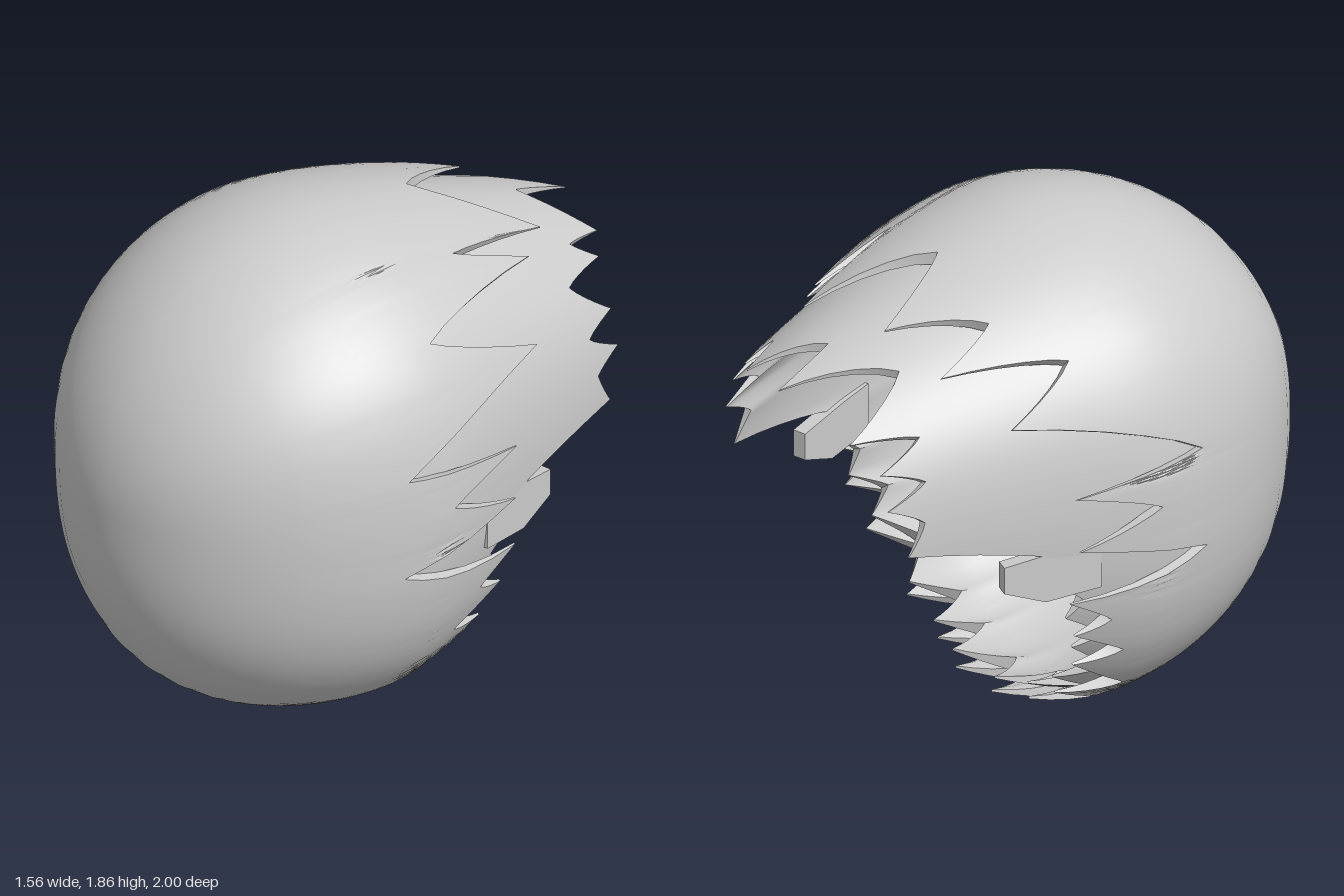
import * as THREE from 'three';
import { toCreasedNormals } from 'three/addons/utils/BufferGeometryUtils.js';

const material = new THREE.MeshStandardMaterial({ color: 0xcccccc });
const MID = 0.1, DEPTH = 0.9; // widest section and distance from it to the front pole

// Point on the rounded head: phi runs round from the top towards +x, s from the front pole backwards.
// sink draws the surface in behind the widest section, so that the tips flare out again.
function headPoint(phi, s, scale, sink) {
  const c = Math.cos(phi), n = Math.sin(phi);
  const front = Math.sin(Math.min(s, Math.PI / 2));
  const d = Math.max(0, s - Math.PI / 2) * DEPTH;
  const z = s < Math.PI / 2 ? DEPTH * Math.cos(s) : -d;
  const r = scale - sink * Math.sin(Math.PI * Math.min(1, d / 1.1));
  const w = 0.78 * front * (1 - 0.38 * d ** 1.4);
  const up = 0.86 * front * (1 - 0.34 * d ** 1.6);
  const down = front ** 0.75 * (1 - 0.6 * d ** 1.5);
  return [
    r * w * n * (1 + 0.2 * n * n * c * c),
    1 + r * (c > 0 ? up : down) * c,
    MID + z * (z > 0 ? scale : 1),
  ];
}

const backToS = z => z > MID ? Math.acos((z - MID) / DEPTH) : Math.PI / 2 + (MID - z) / DEPTH;

// Rim as alternating [angle, z] notches and tips, starting at a notch; returns the sampled columns.
function rimColumns(knots) {
  const columns = [], steps = 5;
  for (let k = 0; k < knots.length - 1; k++) {
    const [a0, z0] = knots[k], [a1, z1] = knots[k + 1];
    const fromNotch = k % 2 === 0;
    for (let i = 0; i < steps; i++) {
      const t = i / steps, tip = fromNotch ? t : 1 - t;
      const notchZ = fromNotch ? z0 : z1, tipZ = fromNotch ? z1 : z0;
      columns.push({
        phi: THREE.MathUtils.degToRad(a0 + (a1 - a0) * t),
        s: backToS(notchZ + (tipZ - notchZ) * tip ** 1.2),
        tip,
      });
    }
  }
  columns.push({ ...columns[0], phi: columns[0].phi + Math.PI * 2 });
  return columns;
}

// Closed shell: outer skin, tapered jagged rim and inner skin in a single sweep.
function lockShell(name, knots, scale, thickness, sink) {
  const columns = rimColumns(knots), even = 8, rows = 20, split = 0.95;
  const path = columns.map(({ phi, s, tip }) => {
    const outer = [], inner = [];
    for (let i = 0; i <= rows; i++) {
      const si = i <= even ? split * i / even : split + (s - split) * (i - even) / (rows - even);
      const nearRim = Math.max(0, (i - even) / (rows - even)) ** 4;
      const wall = thickness * (1 - 0.85 * tip * nearRim);
      outer.push(headPoint(phi, si, scale, sink));
      inner.push(headPoint(phi, si, scale * (1 - wall), sink));
    }
    return outer.concat(inner.reverse());
  });
  const position = path.flat(2), index = [], count = path[0].length;
  for (let j = 0; j < columns.length - 1; j++) {
    for (let i = 0; i < count - 1; i++) {
      const a = j * count + i, b = a + count;
      if (i > 0) index.push(a, b, a + 1);
      if (i < count - 2) index.push(b, b + 1, a + 1);
    }
  }
  const geometry = new THREE.BufferGeometry();
  geometry.setAttribute('position', new THREE.Float32BufferAttribute(position, 3));
  geometry.setIndex(index);
  const mesh = new THREE.Mesh(toCreasedNormals(geometry, 0.7), material);
  mesh.name = name;
  return mesh;
}

// Joins the right-hand knots, the notch at the bottom and the mirrored left-hand knots.
function fullRim(topNotch, right, left, sides, bottomNotch) {
  const mirrored = [...left, ...sides].reverse().map(([a, z]) => [360 - a, z]);
  return [[0, topNotch], ...right, ...sides, [180, bottomNotch], ...mirrored, [360, topNotch]];
}

// Blunt tuft outline: distance backwards, height
const tuftOutline = [[0, 0.93], [0.13, 0.92], [0.35, 0.89], [0.35, 0.79], [0.2, 0.73], [0, 0.75]];

export function createModel() {
  const group = new THREE.Group();
  group.name = 'hair';

  // Under layer with the long locks at the top of the opening
  const underSides = [
    [58, -0.86], [65, -0.72], [72, -0.86], [79, -0.74], [91, -0.8], [98, -0.28],
    [106, -0.3], [111, -0.18], [117, -0.23], [122, -0.08], [128, -0.17], [136, 0],
    [146, -0.13], [152, 0.04], [158, -0.13], [163, 0.04], [170, -0.16],
  ];
  group.add(lockShell('underLocks', fullRim(-0.77,
    [[27, -0.96], [31, -0.8], [38, -0.9], [46, -0.7]],
    [[4, -1.0], [27, -0.66], [43, -0.92], [50, -0.7]],
    underSides, 0.02), 0.96, 0.06, 0.03));

  // Upper layer wrapping the front, with shorter overlapping locks
  const upperSides = [
    [58, -0.43], [77, 0.24], [81, -0.25], [88, 0.06], [95, -0.24], [101, 0.26],
    [109, -0.26], [114, -0.1], [119, -0.22], [124, -0.02], [130, -0.18], [140, 0.08],
    [147, -0.13], [154, 0.18], [160, -0.12], [166, 0.15], [172, -0.16],
  ];
  group.add(lockShell('upperLocks', fullRim(-0.31,
    [[25, -0.69], [28, -0.25], [34, -0.56], [47, 0.03]],
    [[14, -0.64], [29, -0.35], [37, -0.58], [46, -0.17]],
    upperSides, 0.1), 1, 0.06, 0));

  // Blunt side tufts beside the opening
  const tuftShape = new THREE.Shape(tuftOutline.map(([u, y]) => new THREE.Vector2(u, y)));
  const tuftGeometry = new THREE.ExtrudeGeometry(tuftShape, { depth: 0.05, bevelEnabled: false });
  tuftGeometry.translate(0, 0, -0.025);
  for (const side of [-1, 1]) {
    const tuft = new THREE.Mesh(tuftGeometry, material);
    tuft.name = side > 0 ? 'leftTuft' : 'rightTuft';
    tuft.position.set(side * 0.67, 0, -0.13);
    tuft.rotation.y = Math.PI / 2 + side * 0.28;
    group.add(tuft);
  }
  return group;
}
